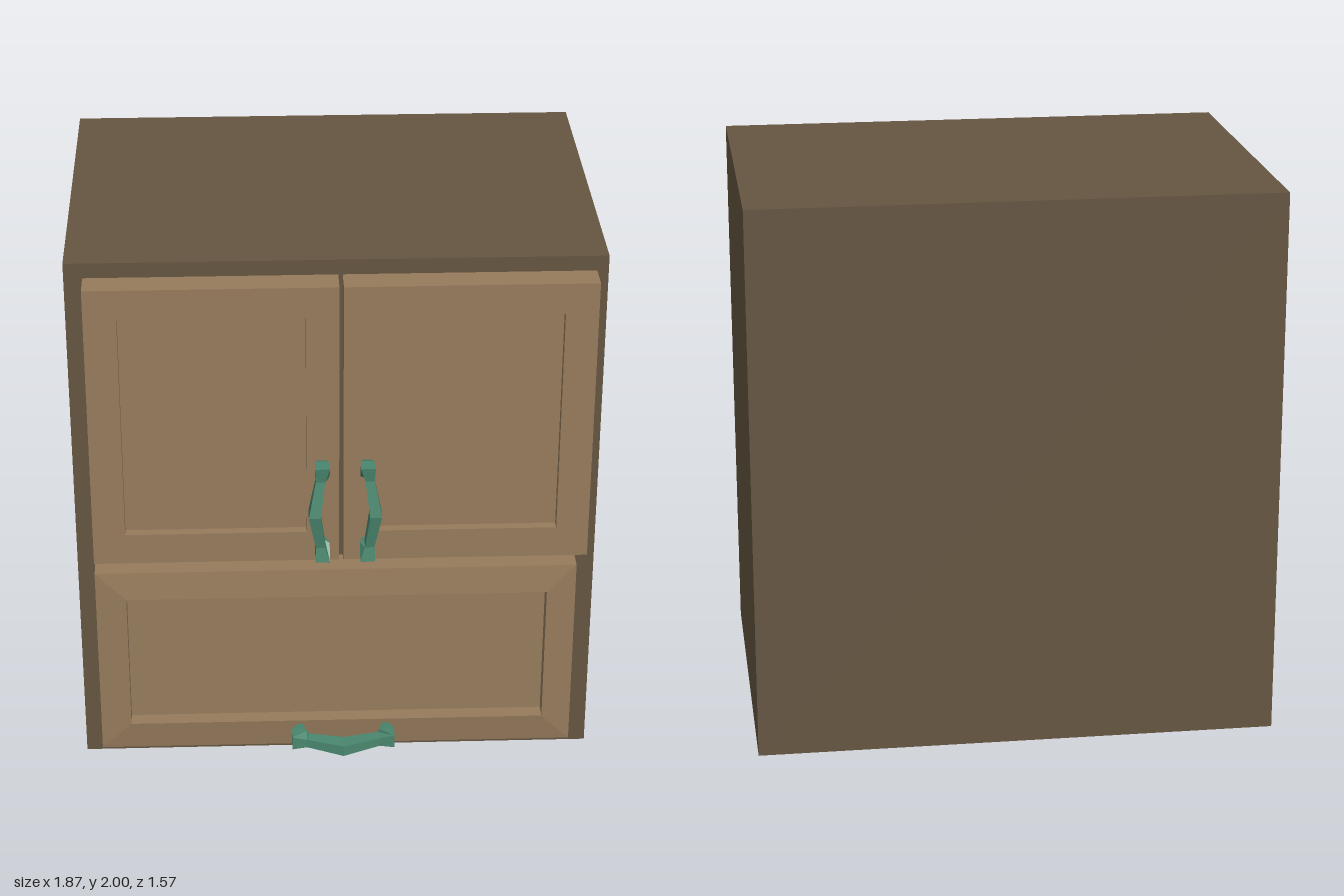
import * as THREE from 'three';

const wood = new THREE.MeshStandardMaterial({ color: 0x967b5c });
const darkWood = new THREE.MeshStandardMaterial({ color: 0x665541 });
const green = new THREE.MeshStandardMaterial({ color: 0x4a876f });

// Joins four-cornered rings into a closed, hard-edged solid
function loft(rings) {
  const pos = [];
  const quad = (a, b, c, d) => pos.push(...a, ...b, ...c, ...a, ...c, ...d);
  const first = rings[0], last = rings[rings.length - 1];
  quad(first[3], first[2], first[1], first[0]);
  for (let r = 0; r < rings.length - 1; r++) {
    for (let i = 0; i < 4; i++) {
      const j = (i + 1) % 4;
      quad(rings[r][i], rings[r][j], rings[r + 1][j], rings[r + 1][i]);
    }
  }
  quad(...last);
  const geometry = new THREE.BufferGeometry();
  geometry.setAttribute('position', new THREE.Float32BufferAttribute(pos, 3));
  geometry.computeVertexNormals();
  return geometry;
}

const rect = (x0, x1, y0, y1, z) => [[x0, y0, z], [x1, y0, z], [x1, y1, z], [x0, y1, z]];

function add(group, name, geometry, material) {
  const mesh = new THREE.Mesh(geometry, material);
  mesh.name = name;
  group.add(mesh);
  return mesh;
}

// Framed front with a sunken panel; the frame may slope up towards the panel
function panelFront(outer, inner, zInner, zPanel) {
  return loft([
    rect(...outer, 0.55),
    rect(...outer, 0.655),
    rect(...inner, zInner),
    rect(...inner, zPanel),
  ]);
}

// Bent pull handle: upright, bending towards +x, feet on z = 0
function handleGeometry() {
  // [inner y, inner z, outer y, outer z, bend, width]
  const half = [
    [0.148, 0, 0.163, 0, 0, 0.03],
    [0.138, 0.05, 0.1875, 0.055, 0, 0.046],
    [0.134, 0.068, 0.1875, 0.113, 0, 0.052],
    [0.125, 0.063, 0.133, 0.105, 0.007, 0.033],
  ];
  const middle = [0, 0.067, 0, 0.129, 0.028, 0.042];
  const lower = half.map(([iy, iz, oy, oz, b, w]) => [-iy, iz, -oy, oz, b, w]).reverse();
  return loft([...half, middle, ...lower].map(([iy, iz, oy, oz, b, w]) => [
    [b - w / 2, iy, iz], [b + w / 2, iy, iz], [b + w / 2, oy, oz], [b - w / 2, oy, oz],
  ]));
}

export function createModel() {
  const group = new THREE.Group();
  group.name = 'cabinet';

  // Carcass with a shallow recess underneath
  const body = loft([
    rect(-0.86, 0.86, -0.475, 0.71, 0.065),
    rect(-0.86, 0.86, -0.475, 0.71, 0),
    rect(-0.935, 0.935, -0.55, 0.785, 0),
    rect(-0.935, 0.935, -0.55, 0.785, 2),
  ]).rotateX(-Math.PI / 2);
  add(group, 'cabinetBody', body, darkWood);

  // Doors and drawer
  add(group, 'rightDoor',
    panelFront([-0.87, 0.005, 0.872, 1.945], [-0.755, -0.11, 0.988, 1.832], 0.655, 0.62), wood);
  add(group, 'leftDoor',
    panelFront([0.02, 0.895, 0.872, 1.945], [0.135, 0.78, 0.988, 1.832], 0.655, 0.62), wood);
  add(group, 'drawerFront',
    panelFront([-0.87, 0.86, 0.08, 0.83], [-0.76, 0.755, 0.19, 0.725], 0.668, 0.61), wood);

  // Handles share one shape, turned to suit
  const handle = handleGeometry();
  for (const [name, x, y, z, turn] of [
    ['leftDoorHandle', 0.102, 1.112, 0.65, 0],
    ['rightDoorHandle', -0.057, 1.112, 0.65, Math.PI],
    ['drawerHandle', 0.018, 0.157, 0.655, -Math.PI / 2],
  ]) {
    const mesh = add(group, name, handle, green);
    mesh.position.set(x, y, z);
    mesh.rotation.z = turn;
  }
  return group;
}
